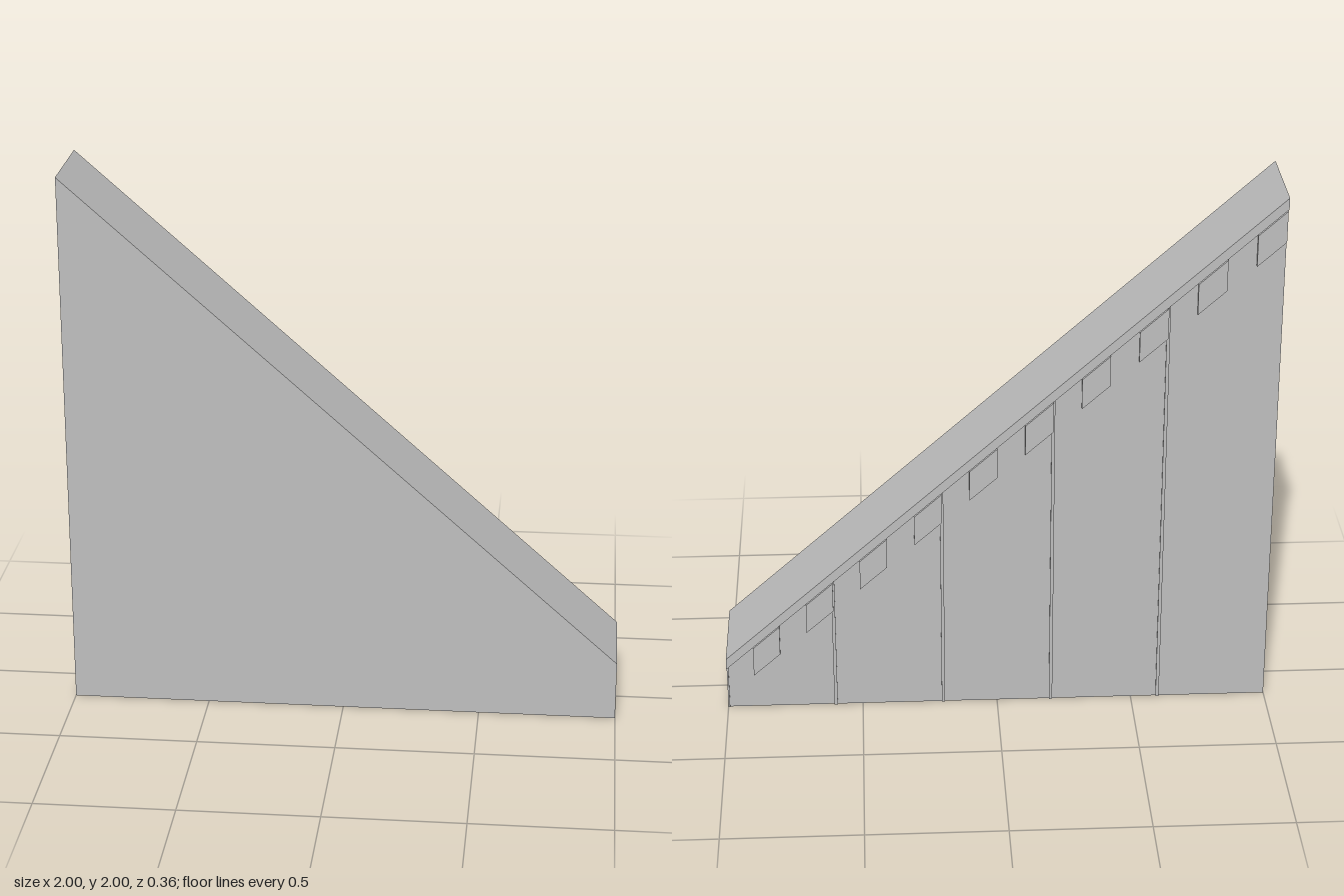
import * as THREE from 'three';

const FRONT = 0.178, WALL = -0.15, RIB = -0.156, BLOCK = -0.163, TRIM = -0.178;
// Height of the sloping top edge
const slope = (x) => 1.11 - 0.89 * x;

export function createModel() {
  const model = new THREE.Group();
  const plaster = new THREE.MeshStandardMaterial({ color: 0xc0c0c0 });
  plaster.name = 'plaster grey';

  // Prism between x0 and x1, from the wall drop below the slope down to a base height rule
  function addPrism(name, x0, x1, drop, base, zBack, zFront) {
    const shape = new THREE.Shape([
      new THREE.Vector2(x0, base(x0)),
      new THREE.Vector2(x1, base(x1)),
      new THREE.Vector2(x1, slope(x1) - drop),
      new THREE.Vector2(x0, slope(x0) - drop),
    ]);
    const geometry = new THREE.ExtrudeGeometry(shape, { depth: zFront - zBack, bevelEnabled: false });
    geometry.translate(0, 0, zBack);
    const mesh = new THREE.Mesh(geometry, plaster);
    mesh.name = name;
    model.add(mesh);
  }

  const ground = () => 0;
  const below = (d) => (x) => slope(x) - d;

  // Solid gable wall and the raked trim along its back
  addPrism('gableWall', -1, 1, 0, ground, WALL, FRONT);
  addPrism('rakedTrim', -1, 1, 0, below(0.042), TRIM, WALL);

  // Thin upright ribs every 0.4 units
  for (let i = 0; i < 5; i++) {
    const x = 1 - 0.4 * i;
    addPrism('panelRib', x - 0.006, Math.min(1, x + 0.006), 0.042, ground, RIB, WALL);
  }

  // Row of sheared blocks under the trim
  for (let i = 0; i < 10; i++) {
    const x = 0.9 - 0.2 * i;
    addPrism('trimBlock', x - 0.1, x, 0.055, below(0.17), BLOCK, WALL);
  }
  return model;
}
